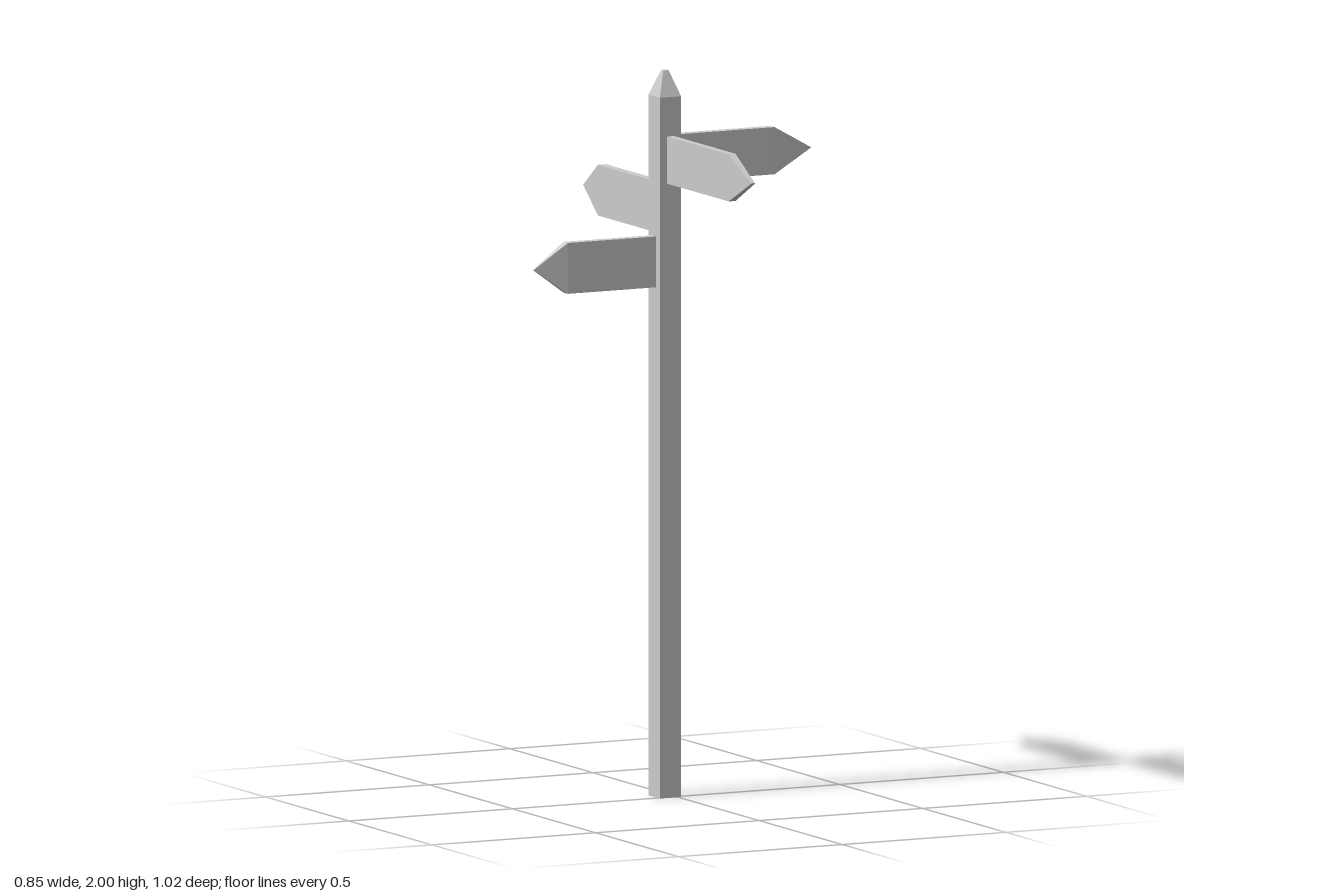
import * as THREE from 'three';

const material = new THREE.MeshStandardMaterial({ color: 0xcccccc, flatShading: true });
const POST = { x: -0.023, z: -0.0225, w: 0.065, d: 0.069, shoulder: 1.93, top: 2 };

// Board running along +x from the post, tapering to a thin vertical edge at its point
function signGeometry(start, shoulder, tip, height, thick, tipThick) {
  const geo = new THREE.BoxGeometry(2, height, thick, 2, 1, 1);
  const p = geo.attributes.position;
  const stations = [start, shoulder, tip];
  for (let i = 0; i < p.count; i++) {
    const s = Math.round(p.getX(i)) + 1;
    p.setX(i, stations[s]);
    if (s === 2) {
      p.setY(i, Math.sign(p.getY(i)) * 0.001);
      p.setZ(i, Math.sign(p.getZ(i)) * tipThick / 2);
    }
  }
  geo.computeVertexNormals();
  return geo;
}

export function createModel() {
  const group = new THREE.Group();
  const add = (name, geo, x, y, z) => {
    const mesh = new THREE.Mesh(geo, material);
    mesh.name = name;
    mesh.position.set(x, y, z);
    group.add(mesh);
    return mesh;
  };

  // Square post with a blunt pyramid on top
  const postGeo = new THREE.BoxGeometry(POST.w, POST.shoulder, POST.d);
  add('post', postGeo, POST.x, POST.shoulder / 2, POST.z);

  const capHeight = POST.top - POST.shoulder;
  const capGeo = new THREE.BoxGeometry(POST.w, capHeight, POST.d);
  const p = capGeo.attributes.position;
  for (let i = 0; i < p.count; i++) {
    if (p.getY(i) > 0) {
      p.setX(i, Math.sign(p.getX(i)) * 0.008);
      p.setZ(i, Math.sign(p.getZ(i)) * 0.007);
    }
  }
  capGeo.computeVertexNormals();
  add('postCap', capGeo, POST.x, POST.shoulder + capHeight / 2, POST.z);

  // Four pointing boards; lengths are measured from the post's axis
  const signs = [
    { name: 'leftSign', turn: 0, y: 1.757, h: 0.13, shoulder: 0.33, tip: 0.446, t: 0.026, tt: 0.004 },
    { name: 'rightSign', turn: Math.PI, y: 1.475, h: 0.14, shoulder: 0.302, tip: 0.4, t: 0.026, tt: 0.004 },
    { name: 'frontSign', turn: -Math.PI / 2, y: 1.757, h: 0.13, shoulder: 0.405, tip: 0.53, t: 0.021, tt: 0.012 },
    { name: 'backSign', turn: Math.PI / 2, y: 1.62, h: 0.14, shoulder: 0.378, tip: 0.486, t: 0.025, tt: 0.005 },
  ];
  for (const s of signs) {
    const geo = signGeometry(0.03, s.shoulder, s.tip, s.h, s.t, s.tt);
    add(s.name, geo, POST.x, s.y, POST.z - (s.turn % Math.PI === 0 ? 0.002 : 0)).rotation.y = s.turn;
  }
  return group;
}
